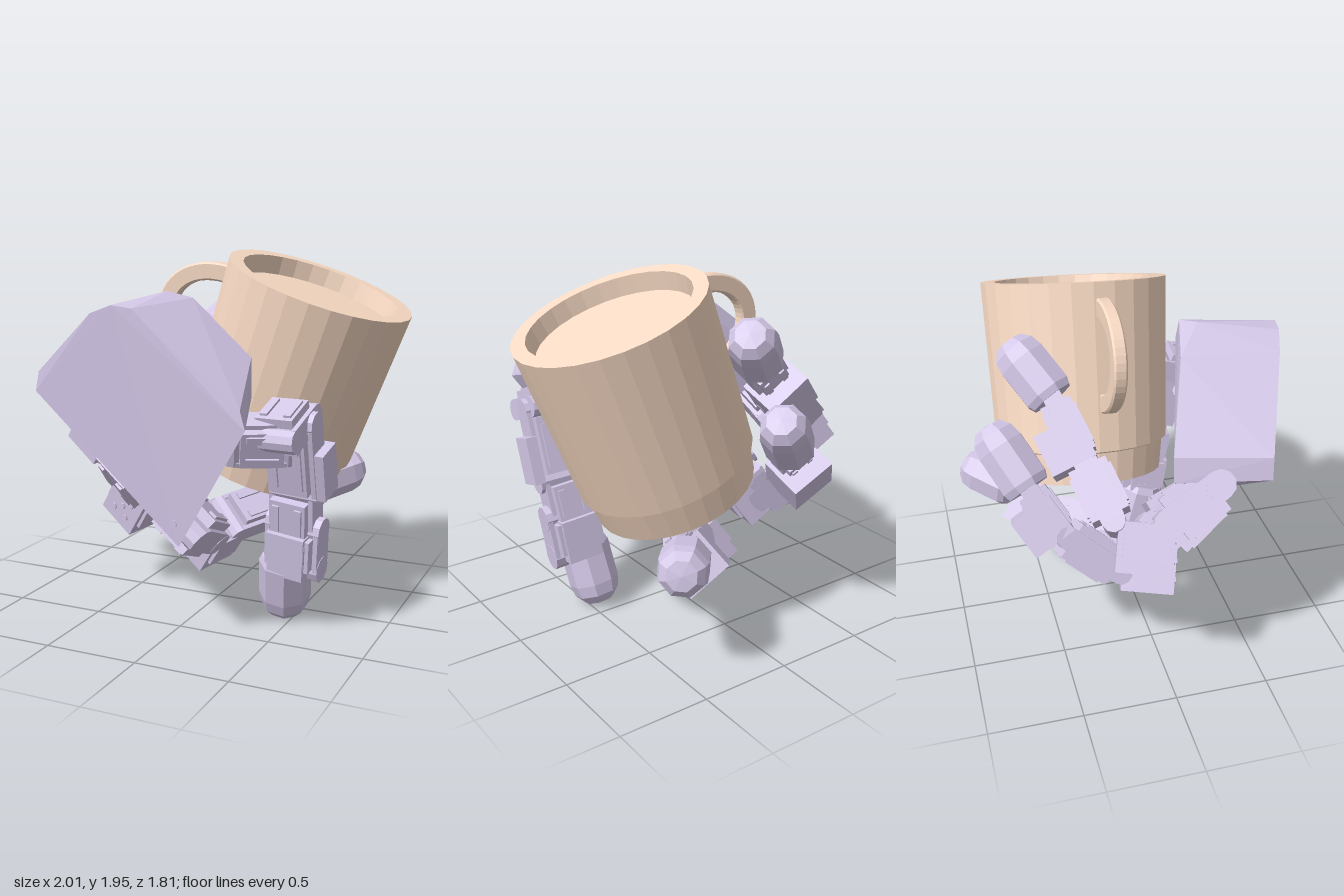
import * as THREE from 'three';
import { ConvexGeometry } from 'three/addons/geometries/ConvexGeometry.js';

const V = (a) => new THREE.Vector3(...a);
const handMat = new THREE.MeshStandardMaterial({ color: 0xd4c8e8, flatShading: true });
const mugMat = new THREE.MeshStandardMaterial({ color: 0xf8dac4, flatShading: true });

// Palm frame: along the knuckle row, and out of the back of the hand
const rowDir = V([0.793, -0.584, 0.175]).normalize();
const outDir = V([-0.277, -0.086, 0.957]).normalize();

function mesh(name, geometry, material = handMat) {
  const m = new THREE.Mesh(geometry, material);
  m.name = name;
  return m;
}

// Group whose y axis runs from a to b and whose x axis lies near the hint
function frame(name, a, b, hint) {
  const g = new THREE.Group();
  g.name = name;
  const y = b.clone().sub(a).normalize();
  const x = hint.clone().addScaledVector(y, -hint.dot(y)).normalize();
  g.quaternion.setFromRotationMatrix(new THREE.Matrix4().makeBasis(x, y, x.clone().cross(y)));
  g.position.copy(a);
  g.userData.length = a.distanceTo(b);
  return g;
}

function box(parent, name, w, h, d, x, y, z) {
  const m = mesh(name, new THREE.BoxGeometry(w, h, d));
  m.position.set(x, y, z);
  parent.add(m);
}

// Cylinder lying across the finger
function pin(parent, name, r, len, x, y, z) {
  const m = mesh(name, new THREE.CylinderGeometry(r, r, len, 10));
  m.rotation.z = Math.PI / 2;
  m.position.set(x, y, z);
  parent.add(m);
}

// Motor link: core, side brackets, hinge pins and ribs
function link(name, a, b, w, d, hint) {
  const g = frame(name, V(a), V(b), hint);
  const L = g.userData.length;
  box(g, 'linkCore', w * 0.82, L * 0.8, d, 0, L / 2, 0);
  for (const s of [-1, 1]) {
    box(g, 'sideBracket', 0.025, L * 0.95, d * 0.6, s * w * 0.46, L / 2, 0);
    box(g, 'rib', w * 0.16, L * 0.6, d * 1.12, s * w * 0.26, L / 2, 0);
  }
  pin(g, 'hingePin', d * 0.3, w * 1.02, 0, 0, 0);
  pin(g, 'hingePin', d * 0.3, w * 1.02, 0, L, 0);
  return g;
}

// Knuckle motor with screws on the outward face
function motor(center, w, h, d) {
  const c = V(center);
  const g = frame('knuckleMotor', c, c.clone().add(outDir.clone().cross(rowDir)), rowDir);
  box(g, 'motorCase', w, h, d, 0, 0, 0);
  for (const s of [-1, 1]) box(g, 'motorFlange', 0.02, h * 0.7, d * 0.8, s * (w / 2 + 0.01), 0.03, 0);
  for (const [x, y] of [[0, 0], [-0.05, 0.05], [0.05, 0.05], [-0.05, -0.05], [0.05, -0.05]]) {
    const screw = mesh('screw', new THREE.CylinderGeometry(0.018, 0.018, 0.02, 6));
    screw.rotation.x = Math.PI / 2;
    screw.position.set(x, y, d / 2);
    g.add(screw);
  }
  return g;
}

// Rounded rubber fingertip
function fingertip(a, b, r, hint) {
  const g = frame('fingertip', V(a), V(b), hint);
  const L = g.userData.length;
  const profile = [[0, 0], [r * 0.88, 0], [r, L * 0.1], [r, L * 0.66], [r * 0.9, L * 0.84], [r * 0.6, L * 0.97], [0, L]];
  const geo = new THREE.LatheGeometry(profile.map(([x, y]) => new THREE.Vector2(x, y)), 8, Math.PI / 8);
  g.add(mesh('fingertipPad', geo));
  return g;
}

function makePalm() {
  const g = new THREE.Group();
  g.name = 'palm';
  const front = [[-0.86, 1.19, 0.5], [-0.83, 1.3, 0.51], [-0.4, 1.64, 0.68], [-0.25, 1.69, 0.73],
    [-0.12, 1.68, 0.76], [0.5, 1.25, 0.88], [0.53, 1.16, 0.89], [0.1, 0.5, 0.71]];
  const back = [[-0.78, 1.2, 0.02], [-0.74, 1.32, 0.03], [-0.36, 1.65, 0.17], [-0.15, 1.735, 0.32], [-0.03, 1.7, 0.26],
    [0.34, 1.42, 0.36], [0.42, 1.25, 0.55], [0.03, 0.55, 0.48], [0.02, 0.66, 0.34]];
  g.add(mesh('palmShell', new ConvexGeometry([...front, ...back].map(V))));
  // cover screws
  for (const p of [[-0.2, 1.6, 0.72], [-0.5, 1.48, 0.62], [0.08, 0.62, 0.71]]) {
    const s = frame('coverScrew', V(p), V(p).add(outDir), rowDir);
    s.add(mesh('screwHead', new THREE.CylinderGeometry(0.02, 0.02, 0.02, 6)));
    g.add(s);
  }
  return g;
}

function makeFinger(name, f) {
  const g = new THREE.Group();
  g.name = name;
  g.add(link('proximalLink', f.base, f.knuckle, 0.3, 0.25, rowDir));
  g.add(motor(f.motor, 0.25, 0.25, 0.28));
  g.add(link('middleLink', f.bend, f.mid, 0.25, 0.2, rowDir));
  // distal link carries a cube motor on its outer side
  const distal = link('distalLink', f.mid, f.tipStart, 0.2, 0.16, rowDir);
  box(distal, 'distalMotor', 0.26, 0.22, 0.24, 0, 0.1, -0.055);
  g.add(distal);
  g.add(fingertip(f.tipStart, f.tipEnd, 0.135, rowDir));
  return g;
}

function makeThumb() {
  const g = new THREE.Group();
  g.name = 'thumb';
  const x = V([1, 0, 0.1]);
  g.add(link('thumbMount', [0.34, 1.04, 0.58], [0.58, 1.04, 0.46], 0.24, 0.2, V([0, 0.9, 0.4])));
  g.add(link('thumbBaseMotor', [0.55, 1.06, 0.58], [0.57, 1.15, 0.34], 0.24, 0.2, x));
  const upper = link('thumbUpperLink', [0.58, 1.12, 0.4], [0.57, 0.74, 0.28], 0.26, 0.23, x);
  box(upper, 'thumbSideBracket', 0.06, 0.26, 0.16, 0.15, 0.27, 0.02);
  g.add(upper);
  g.add(link('thumbMiddleLink', [0.56, 0.74, 0.28], [0.54, 0.5, 0.22], 0.24, 0.22, x));
  const low = link('thumbLowerLink', [0.55, 0.54, 0.23], [0.53, 0.32, 0.19], 0.3, 0.24, x);
  box(low, 'thumbMotor', 0.2, 0.24, 0.28, 0, 0.13, 0);
  g.add(low);
  g.add(fingertip([0.48, 0.36, 0.21], [0.44, 0, 0.1], 0.14, x));
  return g;
}

function makeMug() {
  const base = V([0.15, 0.752, -0.237]);
  const g = frame('mug', base, base.clone().add(V([0.34, 0.94, 0.045])), V([1, 0, 0]));
  const profile = [[0, 0], [0.44, 0], [0.46, 0.17], [0.483, 0.18], [0.513, 1.07], [0.435, 1.07], [0.42, 0.97], [0, 0.97]];
  g.add(mesh('mugBody', new THREE.LatheGeometry(profile.map(([x, y]) => new THREE.Vector2(x, y)), 28), mugMat));
  // D-shaped handle
  const shape = new THREE.Shape();
  shape.absellipse(-0.47, 0.69, 0.37, 0.29, Math.PI / 2, Math.PI * 1.5, false);
  shape.absellipse(-0.47, 0.69, 0.29, 0.21, Math.PI * 1.5, Math.PI / 2, true);
  const handle = mesh('mugHandle', new THREE.ExtrudeGeometry(shape,
    { depth: 0.05, bevelSize: 0.01, bevelThickness: 0.01, bevelSegments: 1, curveSegments: 12 }), mugMat);
  handle.position.z = 0.02;
  g.add(handle);
  return g;
}

export function createModel() {
  const model = new THREE.Group();
  model.name = 'robotHandHoldingMug';
  model.add(makePalm(), makeThumb(), makeMug());
  model.add(makeFinger('upperFinger', {
    base: [-0.73, 1.12, 0.27], knuckle: [-0.77, 0.96, 0.0], motor: [-0.81, 0.86, -0.13],
    bend: [-0.72, 0.97, -0.26], mid: [-0.47, 1.19, -0.35], tipStart: [-0.23, 1.44, -0.46], tipEnd: [-0.01, 1.67, -0.64],
  }));
  model.add(makeFinger('middleFinger', {
    base: [-0.38, 0.85, 0.38], knuckle: [-0.47, 0.62, 0.07], motor: [-0.52, 0.49, -0.03],
    bend: [-0.55, 0.55, -0.22], mid: [-0.47, 0.77, -0.48], tipStart: [-0.33, 0.98, -0.62], tipEnd: [-0.1, 1.25, -0.79],
  }));
  model.add(makeFinger('lowerFinger', {
    base: [0, 0.56, 0.48], knuckle: [-0.06, 0.42, 0.1], motor: [-0.11, 0.3, -0.12],
    bend: [0.0, 0.4, -0.15], mid: [0.18, 0.45, -0.42], tipStart: [0.35, 0.55, -0.62], tipEnd: [0.56, 0.62, -0.87],
  }));
  return model;
}
